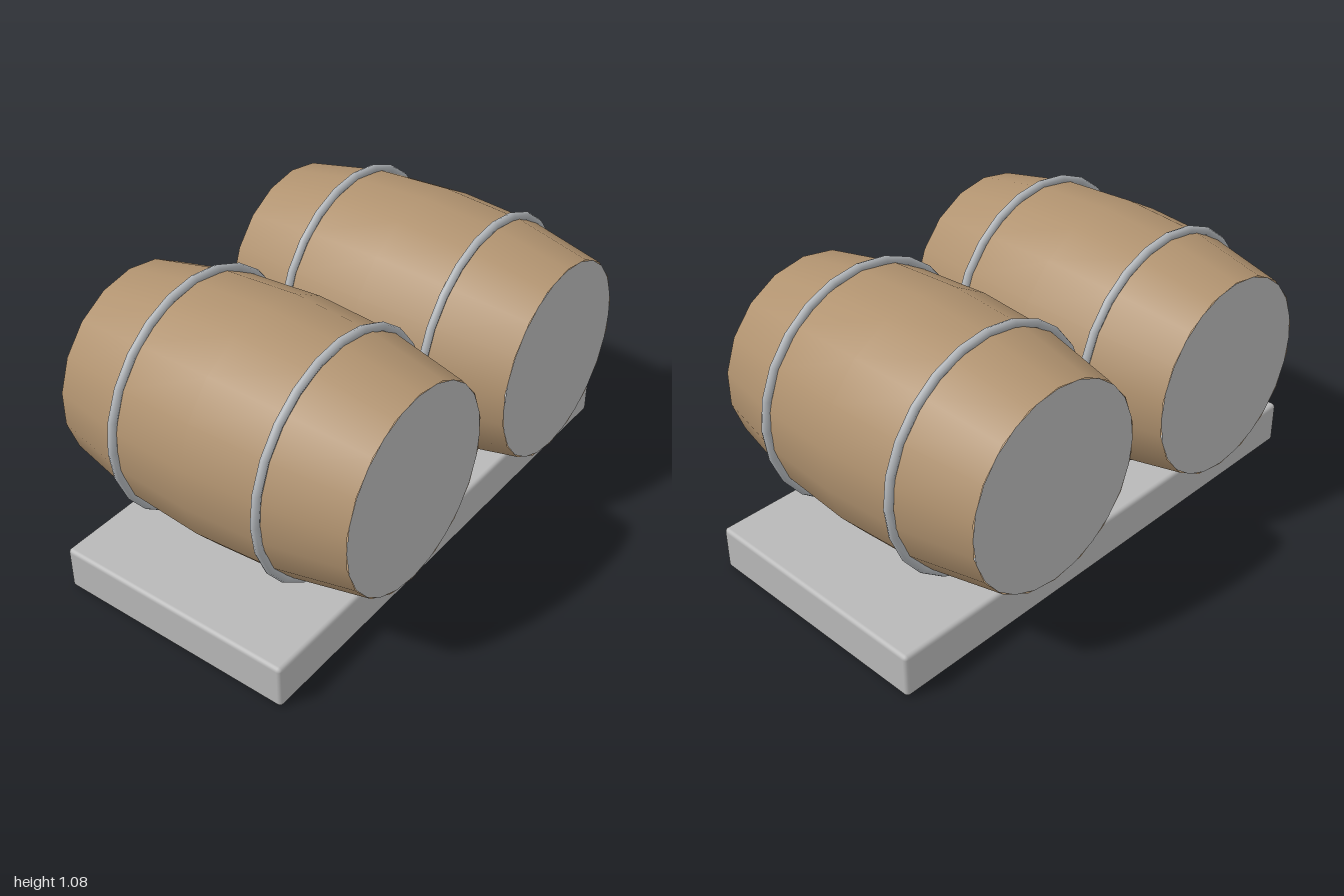
import * as THREE from 'three';
import { RoundedBoxGeometry } from 'three/addons/geometries/RoundedBoxGeometry.js';

const material = (name, color, side = THREE.FrontSide) =>
  new THREE.MeshStandardMaterial({ name, color, side });

const SIDES = 18;
const HALF = 0.605; // half length of a barrel

export function createModel() {
  const wood = material('brown wood', 0xb0926f, THREE.DoubleSide);
  const grey = material('plain grey', 0xb8b8b8);
  const steel = material('hoop steel', 0xb0b4b8);

  const model = new THREE.Group();
  model.name = 'barrelsOnSlab';
  const add = (parent, name, geometry, mat) => {
    const mesh = new THREE.Mesh(geometry, mat);
    mesh.name = name;
    parent.add(mesh);
    return mesh;
  };

  // Base slab with softened edges
  add(model, 'slab', new RoundedBoxGeometry(2, 0.172, 0.948, 2, 0.015), grey).position.y = 0.086;

  // Bulging staves: profile turned about the barrel's length
  const profile = [[0.38, -HALF], [0.44, -0.31], [0.458, 0], [0.44, 0.31], [0.38, HALF]]
    .map(([r, z]) => new THREE.Vector2(r, z));
  const staves = new THREE.LatheGeometry(profile, SIDES).rotateX(Math.PI / 2);
  const head = new THREE.CircleGeometry(0.377, 24);
  const hoop = new THREE.TorusGeometry(0.448, 0.016, 8, 24);

  for (const side of [-1, 1]) {
    const barrel = new THREE.Group();
    barrel.name = side < 0 ? 'rightBarrel' : 'leftBarrel';
    barrel.position.set(side * 0.448, 0.614, 0);
    barrel.scale.x = 0.988;
    add(barrel, 'staves', staves, wood);

    // Hoops and flat heads at both ends
    for (const end of [-1, 1]) {
      add(barrel, end > 0 ? 'frontHoop' : 'backHoop', hoop, steel).position.z = end * 0.304;
      const disc = add(barrel, end > 0 ? 'frontHead' : 'backHead', head, grey);
      disc.position.z = end * HALF;
      if (end < 0) disc.rotation.y = Math.PI;
    }
    model.add(barrel);
  }
  return model;
}
